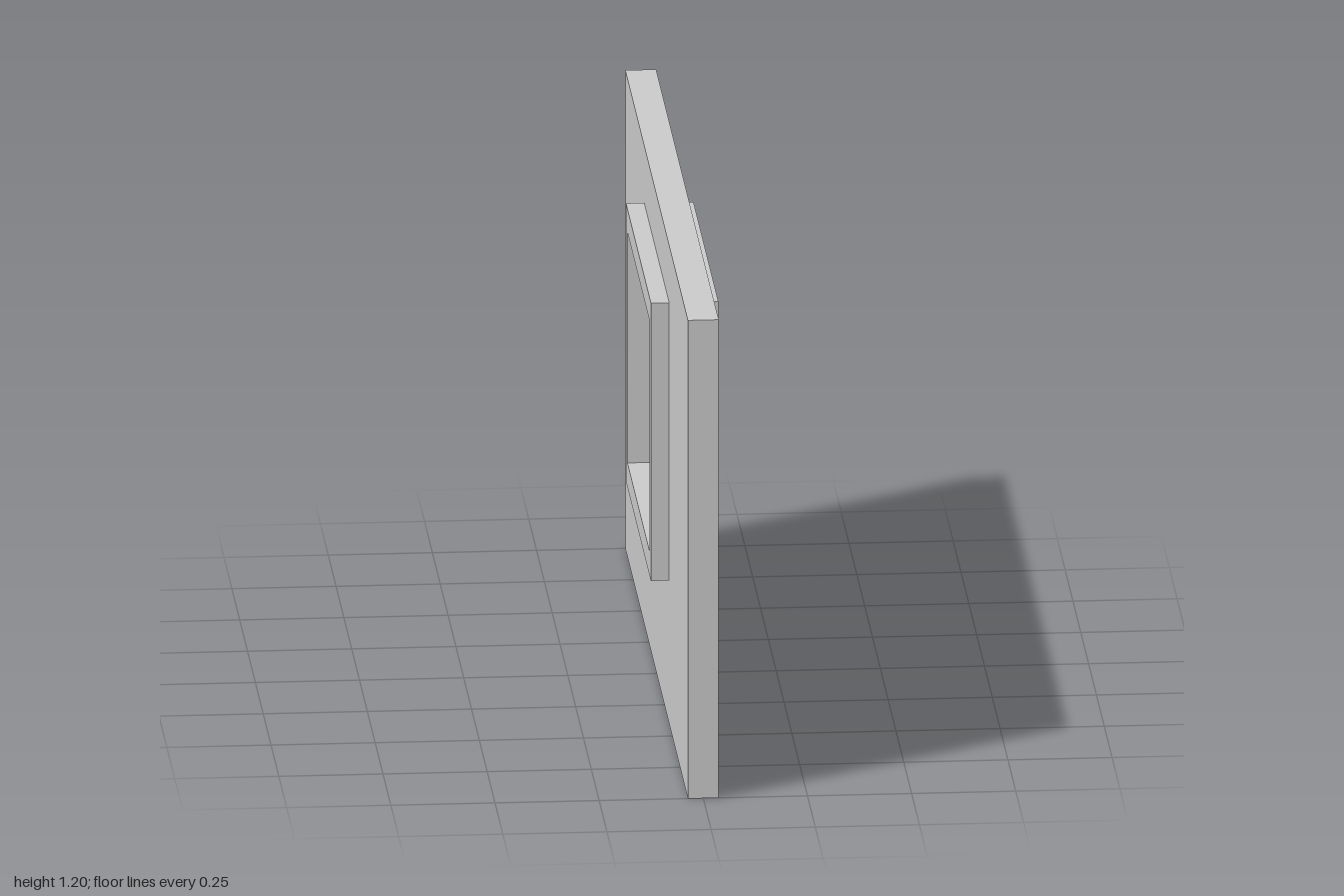
import * as THREE from 'three';

const material = new THREE.MeshStandardMaterial({ color: 0xcccccc, flatShading: true });

// Window opening and frame, as [zMin, zMax, yMin, yMax]
const OUTER = [-0.394, 0.404, 0.36, 1.057];
const INNER = [-0.348, 0.356, 0.42, 1.0];
const WALL = [-1, 1, 0, 1.2];

function trace(path, [z0, z1, y0, y1]) {
  // shape x is -z, so that turning by +90 degrees about y lays it along z
  path.moveTo(-z1, y0);
  path.lineTo(-z0, y0);
  path.lineTo(-z0, y1);
  path.lineTo(-z1, y1);
  path.closePath();
  return path;
}

// Rectangular slab with a rectangular hole, centred on x = 0
function slabWithHole(name, outline, hole, thickness) {
  const shape = trace(new THREE.Shape(), outline);
  shape.holes.push(trace(new THREE.Path(), hole));
  const geometry = new THREE.ExtrudeGeometry(shape, { depth: thickness, bevelEnabled: false });
  geometry.translate(0, 0, -thickness / 2);
  geometry.rotateY(Math.PI / 2);
  const mesh = new THREE.Mesh(geometry, material);
  mesh.name = name;
  return mesh;
}

// Box spanning the given z and y limits, centred on x = 0
function block(name, [z0, z1, y0, y1], thickness) {
  const mesh = new THREE.Mesh(new THREE.BoxGeometry(thickness, y1 - y0, z1 - z0), material);
  mesh.position.set(0, (y0 + y1) / 2, (z0 + z1) / 2);
  mesh.name = name;
  return mesh;
}

export function createModel() {
  const model = new THREE.Group();
  model.name = 'wallWithWindow';

  model.add(slabWithHole('wall', WALL, OUTER, 0.074));

  // Window: frame through the wall, thin pane and glazing bars
  const windowGroup = new THREE.Group();
  windowGroup.name = 'window';
  const [z0, z1, y0, y1] = INNER;
  windowGroup.add(slabWithHole('windowFrame', OUTER, INNER, 0.162));
  windowGroup.add(block('pane', INNER, 0.004));
  windowGroup.add(block('verticalBar', [-0.024, 0.025, y0, y1], 0.044));
  for (const y of [0.6, 0.795]) {
    windowGroup.add(block('horizontalBar', [z0, z1, y - 0.0125, y + 0.0125], 0.026));
  }
  model.add(windowGroup);
  return model;
}
